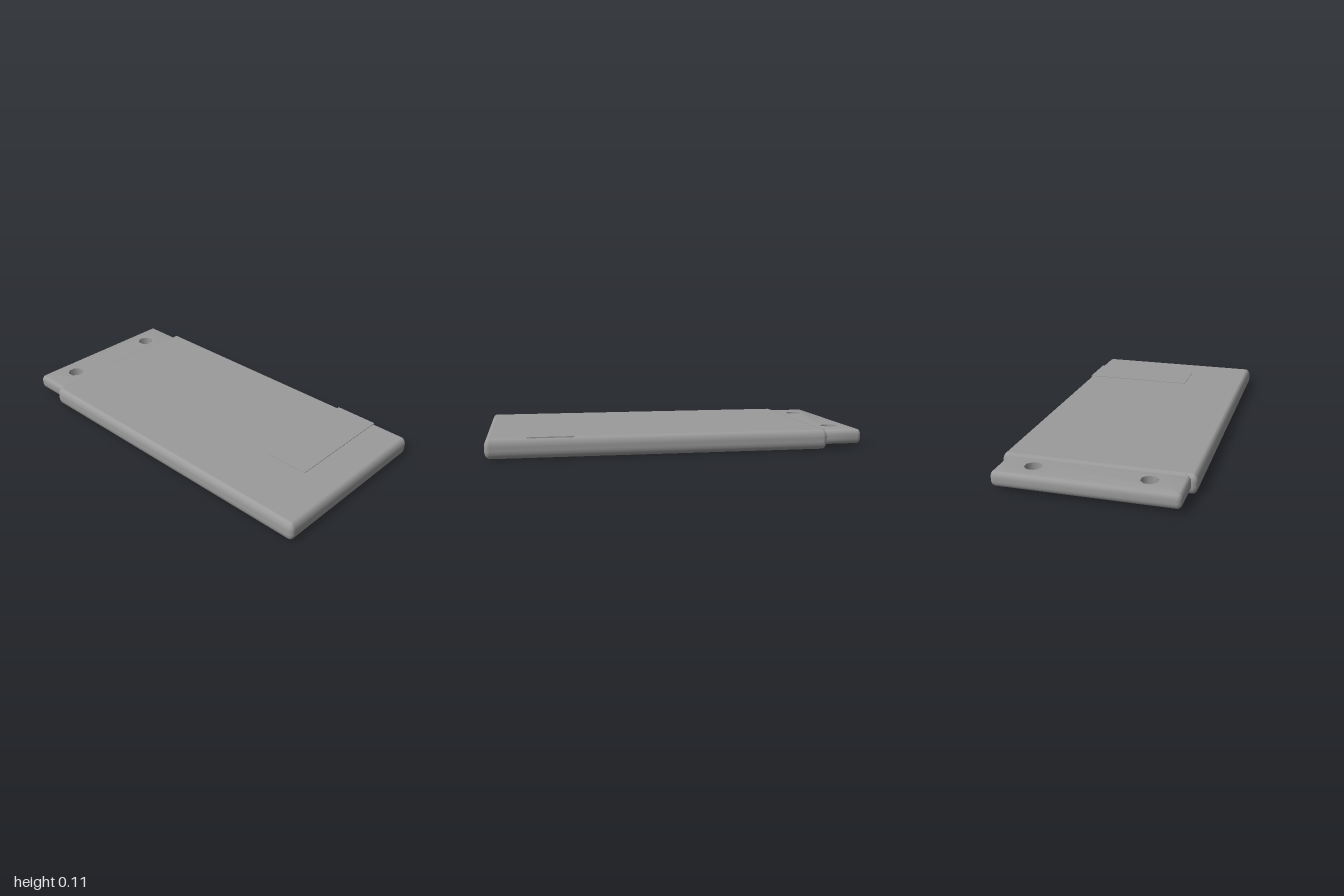
import * as THREE from 'three';
import { RoundedBoxGeometry } from 'three/addons/geometries/RoundedBoxGeometry.js';
import { toCreasedNormals } from 'three/addons/utils/BufferGeometryUtils.js';

const material = new THREE.MeshStandardMaterial({ color: 0x9b9b9b });

function addPart(group, name, geometry, x, y, z) {
  const mesh = new THREE.Mesh(geometry, material);
  mesh.name = name;
  mesh.position.set(x, y, z);
  group.add(mesh);
}

// Slab with rounded edges and eight-sided through holes
function tabGeometry() {
  const x0 = -1, x1 = -0.76, halfZ = 0.47, y0 = 0.021, y1 = 0.098;
  const bevel = 0.02, bevelHeight = 0.03, holeRadius = 0.046, corner = 0.006;
  const holes = [-0.291, 0.291].map((z) => new THREE.Vector2(-0.88, z));

  // Outline with small corner arcs, which the bevel widens
  const left = x0 + bevel + corner, right = x1 - bevel - corner;
  const side = halfZ - bevel - corner;
  const shape = new THREE.Shape();
  shape.absarc(left, -side, corner, Math.PI, Math.PI * 1.5);
  shape.absarc(right, -side, corner, Math.PI * 1.5, Math.PI * 2);
  shape.absarc(right, side, corner, 0, Math.PI / 2);
  shape.absarc(left, side, corner, Math.PI / 2, Math.PI);

  for (const c of holes) {
    const ring = [];
    for (let i = 0; i < 8; i++) {
      const a = -(i + 0.5) * Math.PI / 4;
      ring.push(new THREE.Vector2(c.x + holeRadius * Math.cos(a), c.y + holeRadius * Math.sin(a)));
    }
    shape.holes.push(new THREE.Path(ring));
  }
  const geometry = new THREE.ExtrudeGeometry(shape, {
    depth: y1 - y0 - 2 * bevelHeight, bevelEnabled: true, curveSegments: 4,
    bevelSize: bevel, bevelThickness: bevelHeight, bevelSegments: 5,
  });

  // Keep the hole walls straight: put their vertices back on the hole radius
  const p = geometry.attributes.position;
  const v = new THREE.Vector2();
  for (let i = 0; i < p.count; i++) {
    for (const c of holes) {
      v.set(p.getX(i), p.getY(i)).sub(c);
      if (v.length() < 0.07) {
        v.setLength(holeRadius).add(c);
        p.setXY(i, v.x, v.y);
      }
    }
  }
  geometry.rotateX(-Math.PI / 2);
  geometry.translate(0, y0 + bevelHeight, 0);
  return toCreasedNormals(geometry, 0.9);
}

// Shallow ramp that carries the tab's top face up to the body's top face
function rampGeometry() {
  const profile = new THREE.Shape();
  profile.moveTo(-0.74, 0.07);
  profile.lineTo(-0.74, 0.1045);
  profile.lineTo(-0.765, 0.1045);
  profile.bezierCurveTo(-0.78, 0.1045, -0.79, 0.0975, -0.805, 0.0975);
  profile.lineTo(-0.805, 0.07);
  const geometry = new THREE.ExtrudeGeometry(profile, {
    depth: 0.89, bevelEnabled: false, curveSegments: 6,
  });
  return toCreasedNormals(geometry, 0.6);
}

export function createModel() {
  const group = new THREE.Group();
  group.name = 'tag';

  // Main body: rounded box stretched upward so its edges are taller than wide
  const height = 0.105, stretch = 1.6;
  const body = new RoundedBoxGeometry(1.796, height / stretch, 1, 5, 0.027);
  body.scale(1, stretch, 1);
  addPart(group, 'body', body, 0.102, height / 2, 0);

  // Narrower mounting tab with two screw holes
  addPart(group, 'mountingTab', tabGeometry(), 0, 0, 0);
  addPart(group, 'tabRamp', rampGeometry(), 0, 0, -0.445);

  // Thin raised panel on the top face
  addPart(group, 'raisedPanel', new THREE.BoxGeometry(0.24, 0.006, 0.63), 0.673, 0.105, -0.175);

  return group;
}
